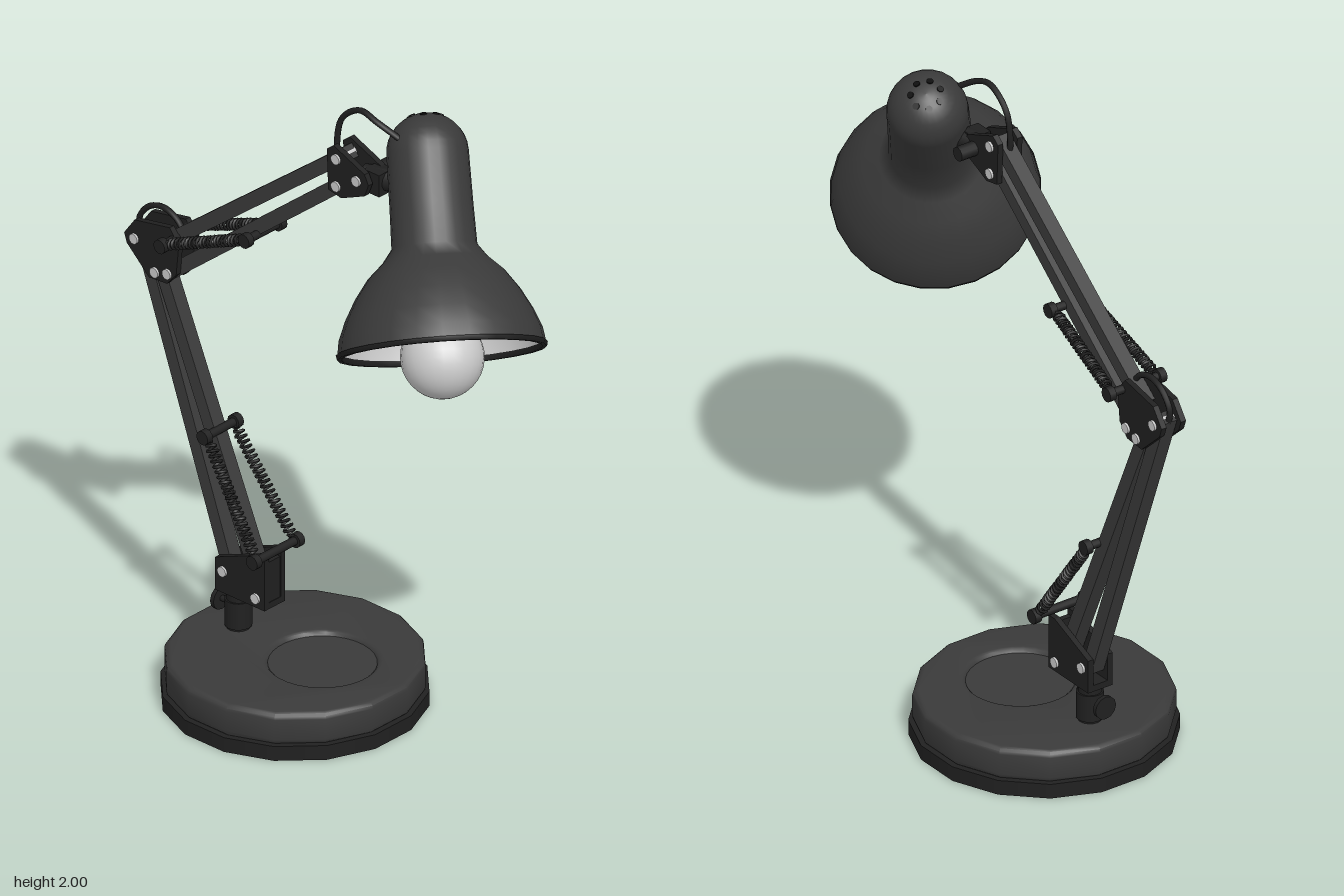
import * as THREE from 'three';
import { toCreasedNormals } from 'three/addons/utils/BufferGeometryUtils.js';

const mat = (color, side = THREE.FrontSide) => new THREE.MeshStandardMaterial({ color, side });
const V = (x, y, z = 0) => new THREE.Vector3(x, y, z);
const UP = V(0, 1, 0);

export function createModel() {
  const body = mat(0x3a3a3a), dark = mat(0x202020), steel = mat(0xcccccc), white = mat(0xcccccc);
  const model = new THREE.Group();
  model.name = 'deskLamp';

  const add = (parent, name, geometry, material, x = 0, y = 0, z = 0) => {
    const m = new THREE.Mesh(geometry, material);
    m.name = name;
    m.position.set(x, y, z);
    parent.add(m);
    return m;
  };
  // Places a mesh whose long axis is y between two points
  const between = (mesh, a, b) => {
    mesh.position.copy(a).lerp(b, 0.5);
    mesh.quaternion.setFromUnitVectors(UP, b.clone().sub(a).normalize());
    return mesh;
  };
  const rod = (parent, name, a, b, r, material = dark, sides = 12) =>
    between(add(parent, name, new THREE.CylinderGeometry(r, r, a.distanceTo(b), sides), material), a, b);

  // Weighted base: foot ring and bevelled top with a shallow round tray
  const base = new THREE.Group();
  base.name = 'base';
  base.position.set(-0.157, 0, -0.01);
  model.add(base);
  add(base, 'baseFoot', new THREE.CylinderGeometry(0.385, 0.385, 0.046, 16), dark, 0, 0.023).rotation.y = Math.PI / 16;
  const ring = (r, n, cx = 0, cy = 0) => Array.from({ length: n }, (_, i) => {
    const a = (i + 0.5) / n * Math.PI * 2;
    return new THREE.Vector2(cx + r * Math.cos(a), cy + r * Math.sin(a));
  });
  const baseShape = new THREE.Shape(ring(0.356, 16));
  baseShape.holes.push(new THREE.Path(ring(0.172, 32, 0.087, 0.02)));
  const baseGeo = new THREE.ExtrudeGeometry(baseShape, {
    depth: 0.064, bevelThickness: 0.018, bevelSize: 0.018, bevelSegments: 3,
  });
  add(base, 'baseTop', toCreasedNormals(baseGeo, 0.6), body, 0, 0.061).rotation.x = -Math.PI / 2;
  add(base, 'baseTray', new THREE.CylinderGeometry(0.17, 0.17, 0.08, 32), body, 0.087, 0.091, -0.02);

  // Arm assembly, mirrored about its own middle plane
  const arm = new THREE.Group();
  arm.name = 'arm';
  arm.position.z = -0.01;
  model.add(arm);

  // Post with clamping knob
  rod(arm, 'post', V(-0.375, 0.13), V(-0.375, 0.27), 0.035, dark, 16);
  rod(arm, 'postCollar', V(-0.375, 0.15), V(-0.375, 0.235), 0.04, dark, 16);
  rod(arm, 'knobStem', V(-0.45, 0.21), V(-0.38, 0.21), 0.009);
  rod(arm, 'knob', V(-0.451, 0.21), V(-0.438, 0.21), 0.036);

  // Paired joint plates
  const plates = (name, points) => {
    const shape = new THREE.Shape(points.map(p => new THREE.Vector2(...p)));
    const geo = new THREE.ExtrudeGeometry(shape, { depth: 0.018, bevelEnabled: false });
    for (const z of [-0.043, 0.025]) add(arm, name, geo, dark, 0, 0, z);
  };
  plates('basePlate', [[-0.425, 0.26], [-0.235, 0.26], [-0.235, 0.43], [-0.265, 0.43], [-0.425, 0.365]]);
  plates('elbowPlate', [[-0.775, 1.285], [-0.735, 1.34], [-0.60, 1.365], [-0.565, 1.32],
    [-0.575, 1.22], [-0.61, 1.18], [-0.68, 1.175], [-0.765, 1.255]]);
  plates('headPlate', [[0.005, 1.85], [0.03, 1.87], [0.15, 1.82], [0.165, 1.79],
    [0.15, 1.75], [0.06, 1.71], [0.01, 1.72]]);
  add(arm, 'basePlateFloor', new THREE.BoxGeometry(0.19, 0.02, 0.07), dark, -0.33, 0.27);
  add(arm, 'basePlateWeb', new THREE.BoxGeometry(0.018, 0.15, 0.06), dark, -0.246, 0.335);

  // Bolts through every pivot
  for (const [x, y] of [[-0.395, 0.33], [-0.268, 0.29], [-0.735, 1.28], [-0.656, 1.2],
    [-0.608, 1.213], [0.042, 1.83], [0.042, 1.742], [0.12, 1.788]]) {
    rod(arm, 'bolt', V(x, y, -0.05), V(x, y, 0.05), 0.016, steel, 14);
  }

  // Square arm bars
  for (const [name, a, b] of [
    ['lowerArmBar', V(-0.395, 0.33), V(-0.735, 1.28)],
    ['lowerArmBar', V(-0.268, 0.29), V(-0.656, 1.2)],
    ['upperArmBar', V(-0.63, 1.3), V(0.042, 1.83)],
    ['upperArmBar', V(-0.608, 1.213), V(0.042, 1.742)],
  ]) between(add(arm, name, new THREE.BoxGeometry(0.043, a.distanceTo(b) + 0.03, 0.045), body), a, b);

  // Spring pegs with end caps, and the coil springs between them
  const peg = (p, half) => {
    rod(arm, 'springPeg', V(p.x, p.y, -half), V(p.x, p.y, half), 0.013);
    for (const s of [-1, 1]) {
      rod(arm, 'pegCap', V(p.x, p.y, s * (half - 0.022)), V(p.x, p.y, s * half), 0.022);
    }
  };
  const spring = (a, b, turns = 24, r = 0.015) => {
    const len = a.distanceTo(b), steps = turns * 8;
    const helix = Array.from({ length: steps + 1 }, (_, i) => {
      const t = i / steps, angle = t * turns * Math.PI * 2;
      const taper = r * Math.min(1, t * 12, (1 - t) * 12);
      return V(taper * Math.cos(angle), (t - 0.5) * len, taper * Math.sin(angle));
    });
    const geo = new THREE.TubeGeometry(new THREE.CatmullRomCurve3(helix), steps, 0.0045, 5);
    between(add(arm, 'spring', geo, dark), a, b);
  };
  for (const [a, wideA, b, wideB] of [
    [V(-0.232, 0.44), 0.1, V(-0.445, 0.755), 0.076],
    [V(-0.588, 1.33), 0.1, V(-0.282, 1.455), 0.08],
  ]) {
    peg(a, wideA);
    peg(b, wideB);
    for (const s of [-1, 1]) {
      spring(V(a.x, a.y, s * (wideA - 0.02)), V(b.x, b.y, s * (wideB - 0.02)));
    }
  }

  // Cable loops over the joints
  const cable = pts => add(arm, 'cable',
    new THREE.TubeGeometry(new THREE.CatmullRomCurve3(pts.map(p => V(...p))), 32, 0.009, 8), dark);
  cable([[-0.75, 1.28], [-0.755, 1.325], [-0.715, 1.375], [-0.66, 1.39], [-0.61, 1.37], [-0.58, 1.33]]);
  cable([[0.01, 1.79], [0.005, 1.86], [0.025, 1.94], [0.095, 1.99], [0.16, 1.975], [0.225, 1.935, -0.025]]);

  // Swivel joining the arm to the shade
  rod(arm, 'shadeSwivel', V(0.11, 1.785, 0), V(0.24, 1.79, -0.05), 0.035);
  rod(arm, 'swivelKnob', V(0.12, 1.788, -0.1), V(0.12, 1.788, -0.04), 0.022);
  add(arm, 'swivelBlock', new THREE.BoxGeometry(0.06, 0.07, 0.06), dark, 0.155, 1.785, -0.01);

  // Shade: local y runs from the mouth up to the closed end
  const shade = new THREE.Group();
  shade.name = 'shade';
  shade.position.set(0.51, 1.41, 0.1);
  shade.quaternion.setFromUnitVectors(UP, V(-0.448, 0.81, -0.38).normalize());
  model.add(shade);
  const bell = [[0.298, 0], [0.29, 0.05], [0.268, 0.105], [0.235, 0.165], [0.195, 0.22],
    [0.15, 0.262], [0.122, 0.3], [0.119, 0.42], [0.117, 0.57]];
  const dome = Array.from({ length: 8 }, (_, i) => {
    const a = (i + 1) / 8 * Math.PI / 2;
    return [0.117 * Math.cos(a), 0.57 + 0.113 * Math.sin(a)];
  });
  const lathe = pts => new THREE.LatheGeometry(pts.map(p => new THREE.Vector2(Math.max(p[0], 0), p[1])), 24);
  add(shade, 'shadeShell', lathe([...bell, ...dome]), body);
  const lining = bell.map(([r, y]) => [r - 0.012, y + 0.002]).reverse();
  add(shade, 'shadeLining', lathe([[0, 0.57], ...lining]), white);
  add(shade, 'shadeRim', lathe([[0.284, 0.012], [0.286, -0.004], [0.298, -0.004], [0.301, 0.01]]),
    mat(0x202020, THREE.DoubleSide));

  // Vent holes around the closed end
  for (let i = 0; i < 7; i++) {
    const a = i / 7 * Math.PI * 2, tilt = 0.4;
    const n = V(Math.sin(tilt) * Math.cos(a), Math.cos(tilt), Math.sin(tilt) * Math.sin(a));
    const c = V(0, 0.57).addScaledVector(n, 0.113);
    rod(shade, 'ventHole', c.clone().addScaledVector(n, -0.006), c.clone().addScaledVector(n, 0.003), 0.01, mat(0x0c0c0c));
  }

  // Bulb and socket
  const bulb = [[0, -0.135]];
  for (let i = 1; i <= 14; i++) {
    const a = -Math.PI / 2 + i / 14 * 2.55;
    bulb.push([0.12 * Math.cos(a), -0.015 + 0.12 * Math.sin(a)]);
  }
  bulb.push([0.058, 0.13], [0.048, 0.18], [0.045, 0.25]);
  add(shade, 'bulb', lathe(bulb), white);
  add(shade, 'socket', new THREE.CylinderGeometry(0.06, 0.06, 0.33, 20), dark, 0, 0.4);

  return model;
}
